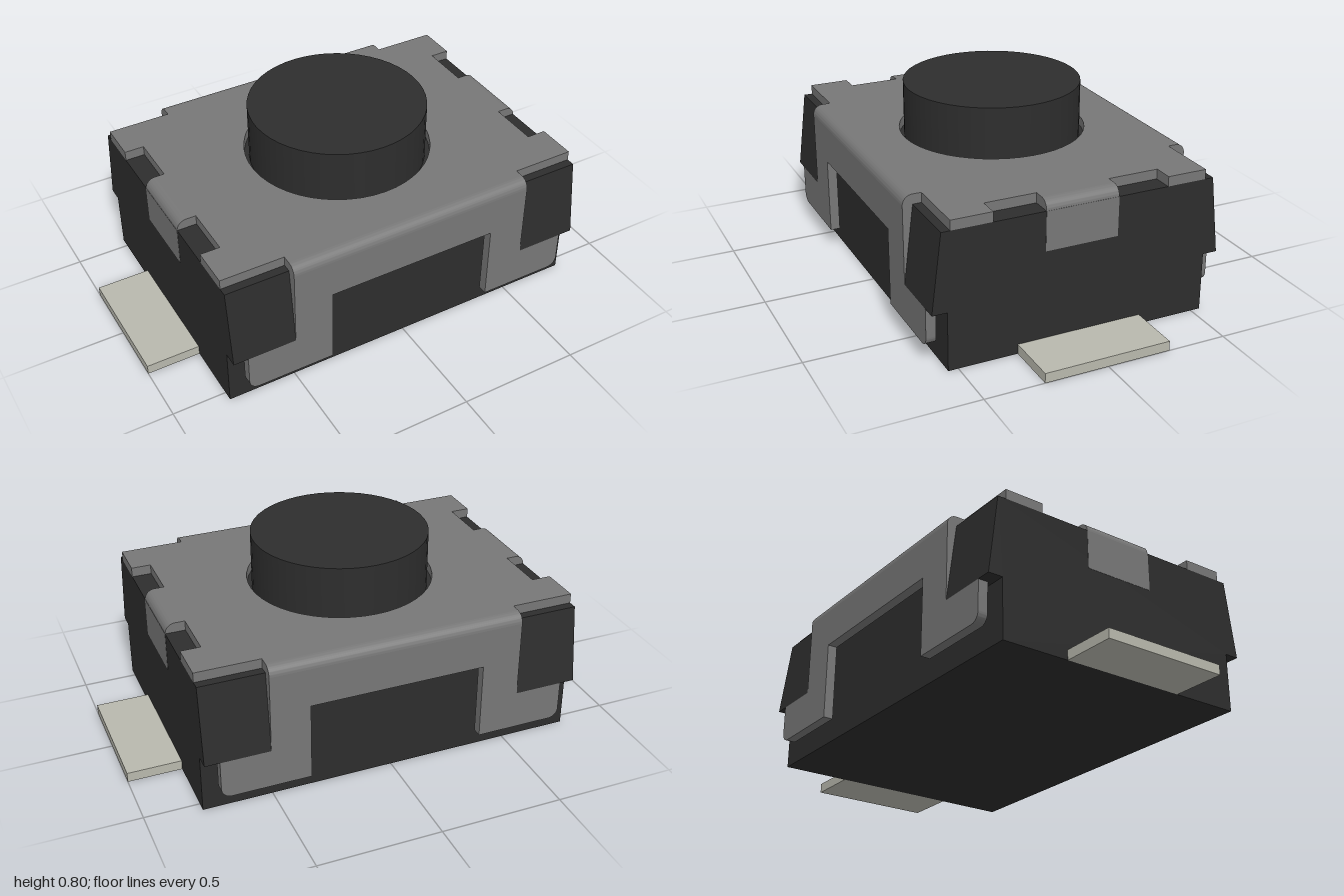
import * as THREE from 'three';
import { toCreasedNormals } from 'three/addons/utils/BufferGeometryUtils.js';

const plastic = new THREE.MeshStandardMaterial({ name: 'blackPlastic', color: 0x2d2d2d });
const steel = new THREE.MeshStandardMaterial({ name: 'greySteel', color: 0x777777 });
const tin = new THREE.MeshStandardMaterial({ name: 'tinPlating', color: 0xb8b8ad });

function add(parent, name, geometry, material, x = 0, y = 0, z = 0) {
  const mesh = new THREE.Mesh(geometry, material);
  mesh.name = name;
  mesh.position.set(x, y, z);
  parent.add(mesh);
  return mesh;
}

const polygon = (points) => new THREE.Shape(points.map(([x, y]) => new THREE.Vector2(x, y)));

// Extrudes a shape by depth, centred on its plane, keeping bends smooth
function slab(shape, depth, curveSegments = 8) {
  const g = new THREE.ExtrudeGeometry(shape, { depth, bevelEnabled: false, curveSegments });
  g.translate(0, 0, -depth / 2);
  return toCreasedNormals(g, 0.6);
}

// Quarter-round bend of sheet metal, running along z
function bend(length) {
  const s = new THREE.Shape();
  s.moveTo(0, 0);
  s.lineTo(0.04, 0);
  s.absarc(0, 0, 0.04, 0, Math.PI / 2, false);
  s.closePath();
  return slab(s, length);
}

export function createModel() {
  const model = new THREE.Group();
  model.name = 'pushSwitch';

  // Housing: straight middle with wedge-shaped shoulders at both ends
  add(model, 'housing', new THREE.BoxGeometry(1.04, 0.56, 1.08), plastic, 0, 0.28, 0);
  const profile = polygon([[-0.54, 0], [0.54, 0], [0.54, 0.24], [0.6, 0.24],
    [0.56, 0.56], [-0.56, 0.56], [-0.6, 0.24], [-0.54, 0.24]]);
  const endGeometry = new THREE.ExtrudeGeometry(profile, { depth: 0.26, bevelEnabled: false });
  endGeometry.translate(0, 0, -0.13).rotateY(Math.PI / 2);
  for (const s of [1, -1]) add(model, 'housingEnd', endGeometry, plastic, s * 0.65, 0, 0);

  // Round button
  add(model, 'button', new THREE.CylinderGeometry(0.36, 0.36, 0.26, 48), plastic, 0, 0.67, 0);

  // Cover top: notched sheet with a round hole
  const quarter = [[0.74, 0.15], [0.7, 0.15], [0.7, 0.36], [0.78, 0.36],
    [0.78, 0.525], [0.52, 0.525], [0.52, 0.56]];
  const flip = (sx, sy) => quarter.map(([x, y]) => [sx * x, sy * y]);
  const top = polygon([...flip(1, 1), ...flip(-1, 1).reverse(),
    ...flip(-1, -1), ...flip(1, -1).reverse()]);
  top.holes.push(new THREE.Path().absarc(0, 0, 0.38, 0, Math.PI * 2, true));
  add(model, 'coverTop', slab(top, 0.04, 24).rotateX(-Math.PI / 2), steel, 0, 0.58, 0);

  // Cover skirt: wide arch with two outward-turned feet
  const skirt = new THREE.Shape();
  skirt.moveTo(-0.52, 0.56);
  skirt.lineTo(-0.52, 0.24);
  skirt.lineTo(-0.72, 0.24);
  skirt.lineTo(-0.72, 0.12);
  skirt.absarc(-0.68, 0.12, 0.04, Math.PI, Math.PI * 1.5, false);
  skirt.lineTo(-0.36, 0.08);
  skirt.lineTo(-0.36, 0.4);
  skirt.lineTo(0.36, 0.4);
  skirt.lineTo(0.36, 0.08);
  skirt.lineTo(0.68, 0.08);
  skirt.absarc(0.68, 0.12, 0.04, -Math.PI / 2, 0, false);
  skirt.lineTo(0.72, 0.24);
  skirt.lineTo(0.52, 0.24);
  skirt.lineTo(0.52, 0.56);
  skirt.closePath();
  const skirtGeometry = slab(skirt, 0.04);
  const skirtBend = bend(1.04).rotateY(-Math.PI / 2);
  const tabBend = bend(0.3);

  // Each half repeats turned about the vertical axis
  for (const angle of [0, Math.PI]) {
    const half = new THREE.Group();
    half.name = angle ? 'backAndRightSide' : 'frontAndLeftSide';
    half.rotation.y = angle;
    model.add(half);
    add(half, 'coverSkirt', skirtGeometry, steel, 0, 0, 0.58);
    add(half, 'coverSkirtBend', skirtBend, steel, 0, 0.56, 0.56);
    add(half, 'coverTab', new THREE.BoxGeometry(0.041, 0.16, 0.3), steel, 0.7605, 0.48, 0);
    add(half, 'coverTabBend', tabBend, steel, 0.74, 0.56, 0);
    add(half, 'terminal', new THREE.BoxGeometry(0.22, 0.04, 0.52), tin, 0.89, 0.02, 0);
  }
  return model;
}
